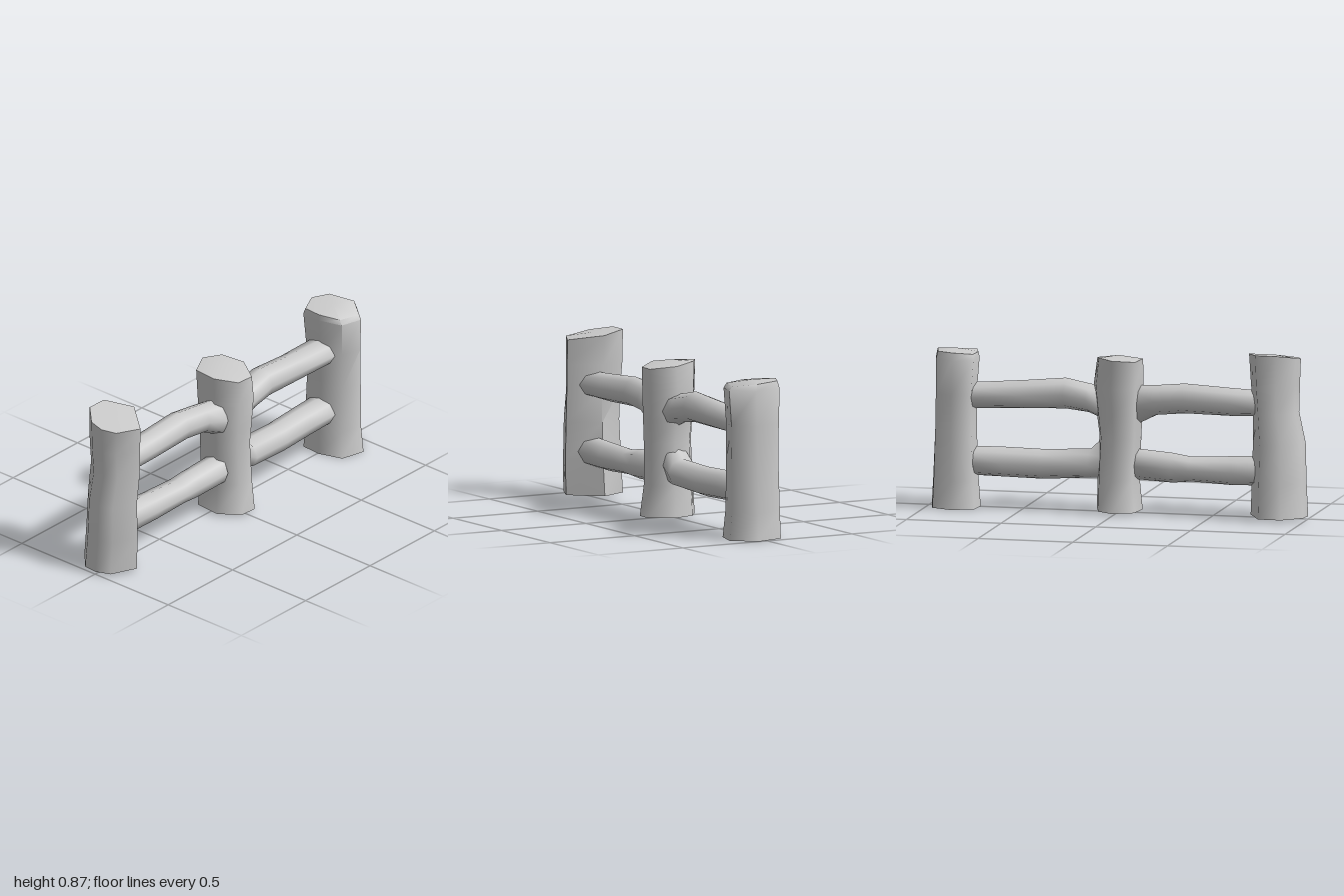
import * as THREE from 'three';
import { toCreasedNormals } from 'three/addons/utils/BufferGeometryUtils.js';

// Skin a list of rings (counter-clockwise about the path) and close both ends
function loft(rings, startCap, endCap) {
  const n = rings[0].length;
  const points = [...rings.flat(), startCap, endCap];
  const index = [];
  const start = points.length - 2, end = points.length - 1, last = (rings.length - 1) * n;
  for (let j = 0; j < n; j++) {
    const k = (j + 1) % n;
    for (let i = 0; i < rings.length - 1; i++) {
      const a = i * n + j, b = i * n + k;
      index.push(a, b, b + n, a, b + n, a + n);
    }
    index.push(start, k, j, end, last + j, last + k);
  }
  const geometry = new THREE.BufferGeometry().setFromPoints(points);
  geometry.setIndex(index);
  return toCreasedNormals(geometry, 1.15);
}

const mid = (a, b) => (a + b) / 2;

// Post: a rough outline fitted into each level [y, xMin, xMax, zMin, zMax]
function post(outline, levels, rim, topY) {
  const rings = levels.map(([y, x0, x1, z0, z1], i) =>
    outline.map(([u, w], j) => new THREE.Vector3(
      mid(x0, x1) + u * (x1 - x0) / 2,
      y + (i === levels.length - 1 ? rim[j] : 0),
      mid(z0, z1) + w * (z1 - z0) / 2)));
  const centre = (l, y) => new THREE.Vector3(mid(l[1], l[2]), y, mid(l[3], l[4]));
  return loft(rings, centre(levels[0], levels[0][0]), centre(levels.at(-1), topY));
}

// Rail: eight-sided sections [x, yMin, yMax, zMin, zMax]
function rail(sections) {
  const rings = sections.map(([x, y0, y1, z0, z1]) =>
    Array.from({ length: 8 }, (_, j) => {
      const a = (j / 8) * Math.PI * 2;
      return new THREE.Vector3(x, mid(y0, y1) + Math.cos(a) * (y1 - y0) / 2,
        mid(z0, z1) + Math.sin(a) * (z1 - z0) / 2);
    }));
  const centre = ([x, y0, y1, z0, z1]) => new THREE.Vector3(x, mid(y0, y1), mid(z0, z1));
  return loft(rings, centre(sections[0]), centre(sections.at(-1)));
}

export function createModel() {
  const group = new THREE.Group();
  group.name = 'fence';
  const grey = new THREE.MeshStandardMaterial({ color: 0xcccccc });
  grey.name = 'plain grey';
  const add = (name, geometry) => {
    const mesh = new THREE.Mesh(geometry, grey);
    mesh.name = name;
    group.add(mesh);
  };

  // Posts, outlines running left, front, right, back
  add('rightEndPost', post(
    [[-1, 0.1], [-0.8, 0.6], [0.1, 1], [1, 0], [0.5, -0.98], [-0.3, -1], [-0.95, -0.4]],
    [
      [0.02, -1, -0.7, -0.165, 0.14],
      [0.2, -0.99, -0.705, -0.155, 0.145],
      [0.4, -0.985, -0.71, -0.145, 0.14],
      [0.56, -0.95, -0.71, -0.145, 0.145],
      [0.7, -0.955, -0.7, -0.155, 0.145],
      [0.84, -0.96, -0.69, -0.155, 0.145],
    ],
    [-0.005, -0.01, -0.012, 0.015, 0.03, 0.03, 0.01], 0.855));
  add('middlePost', post(
    [[-1, 0.25], [-0.4, 0.95], [0.4, 1], [1, 0.2], [0.7, -0.6], [0, -1], [-0.9, -0.65]],
    [
      [0.015, -0.115, 0.125, -0.14, 0.165],
      [0.18, -0.1, 0.12, -0.125, 0.145],
      [0.4, -0.11, 0.11, -0.12, 0.14],
      [0.52, -0.115, 0.125, -0.125, 0.145],
      [0.66, -0.12, 0.14, -0.135, 0.15],
      [0.8, -0.12, 0.12, -0.145, 0.15],
    ],
    [0, -0.015, -0.015, 0, 0.015, 0.01, 0], 0.82));
  add('leftEndPost', post(
    [[-1, 0], [-0.7, 0.8], [0.25, 1], [1, 0.3], [0.7, -0.7], [-0.1, -1], [-0.95, -0.7]],
    [
      [0.005, 0.73, 1, -0.15, 0.165],
      [0.15, 0.74, 0.99, -0.145, 0.15],
      [0.4, 0.75, 0.98, -0.14, 0.15],
      [0.6, 0.75, 0.975, -0.145, 0.15],
      [0.78, 0.735, 0.975, -0.155, 0.16],
      [0.81, 0.74, 0.965, -0.14, 0.14],
    ],
    [0, -0.005, -0.01, 0.005, 0.01, 0.01, 0], 0.825));

  // Rails, ends buried in the posts
  add('upperRightRail', rail([
    [-0.8, 0.53, 0.66, -0.07, 0.095],
    [-0.6, 0.525, 0.67, -0.07, 0.085],
    [-0.35, 0.53, 0.685, -0.075, 0.08],
    [-0.2, 0.515, 0.67, -0.065, 0.085],
    [-0.08, 0.455, 0.665, -0.055, 0.1],
  ]));
  add('upperLeftRail', rail([
    [0.08, 0.48, 0.65, -0.065, 0.1],
    [0.16, 0.515, 0.665, -0.07, 0.1],
    [0.28, 0.53, 0.69, -0.07, 0.09],
    [0.5, 0.525, 0.67, -0.075, 0.085],
    [0.8, 0.515, 0.65, -0.105, 0.08],
  ]));
  add('lowerRightRail', rail([
    [-0.8, 0.17, 0.325, -0.07, 0.095],
    [-0.6, 0.165, 0.315, -0.07, 0.09],
    [-0.38, 0.175, 0.305, -0.065, 0.09],
    [-0.28, 0.165, 0.32, -0.06, 0.09],
    [-0.08, 0.175, 0.335, -0.055, 0.1],
  ]));
  add('lowerLeftRail', rail([
    [0.06, 0.18, 0.41, -0.06, 0.09],
    [0.15, 0.175, 0.325, -0.07, 0.1],
    [0.4, 0.16, 0.315, -0.075, 0.09],
    [0.6, 0.165, 0.32, -0.085, 0.085],
    [0.8, 0.17, 0.32, -0.1, 0.085],
  ]));
  return group;
}
